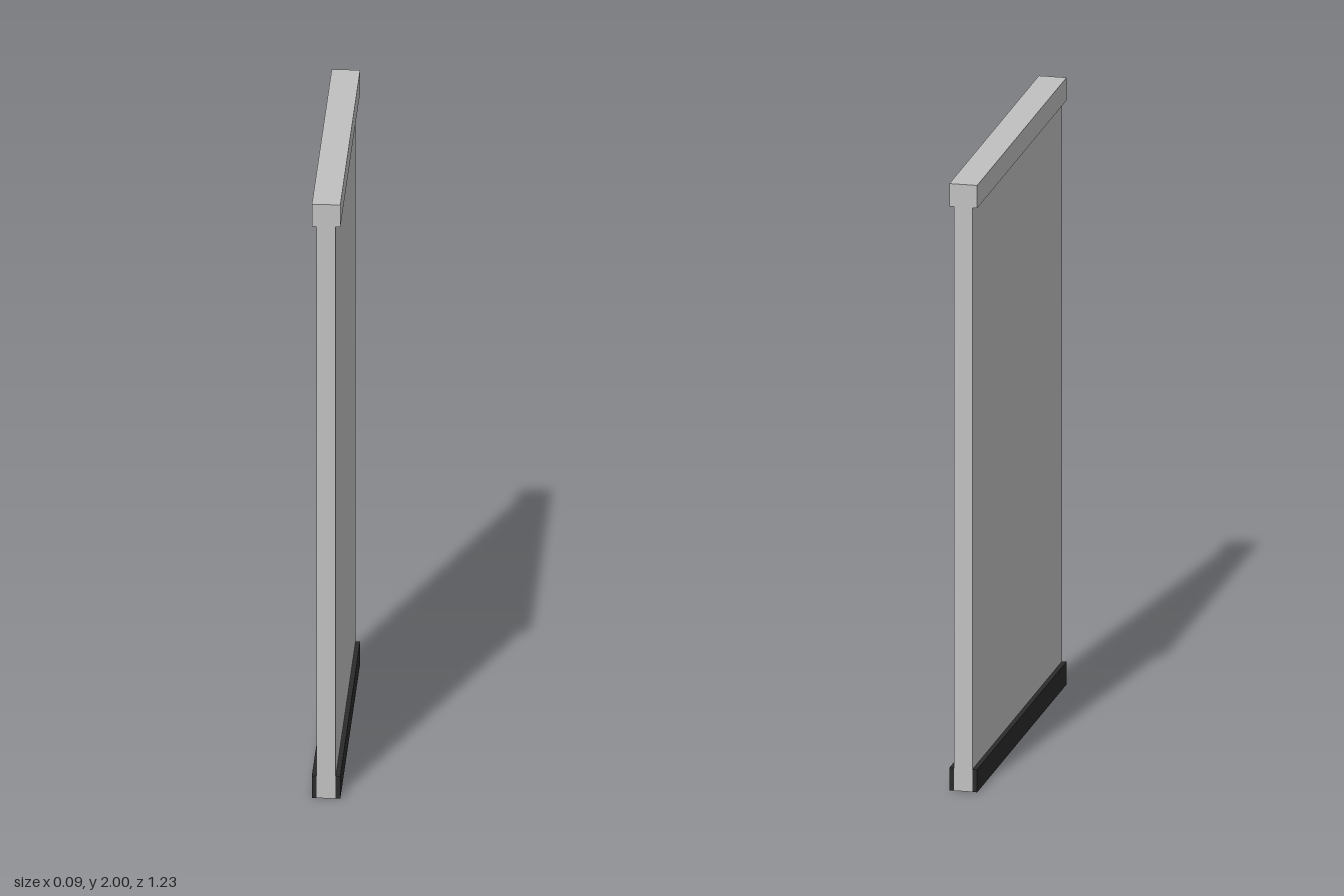
import * as THREE from 'three';

const LENGTH = 1.226; // along z
const WALL = 0.06; // panel thickness
const TRIM = 0.09; // overall thickness at cap and skirting
const BAND = 0.075; // height of cap and skirting

export function createModel() {
  const group = new THREE.Group();
  const grey = new THREE.MeshStandardMaterial({ name: 'lightGrey', color: 0xc0c0c0 });
  const dark = new THREE.MeshStandardMaterial({ name: 'charcoal', color: 0x2b2b2b });

  const slab = (name, width, y0, y1, x, material) => {
    const mesh = new THREE.Mesh(new THREE.BoxGeometry(width, y1 - y0, LENGTH), material);
    mesh.name = name;
    mesh.position.set(x, (y0 + y1) / 2, 0);
    group.add(mesh);
  };

  // Main panel and its wider cap
  slab('wallPanel', WALL, 0, 2 - BAND, 0, grey);
  slab('topCap', TRIM, 2 - BAND, 2, 0, grey);

  // Dark skirting on both faces, with a grey underside
  const strip = (TRIM - WALL) / 2;
  const skirtingFaces = [dark, dark, dark, grey, dark, dark];
  for (const [name, side] of [['leftSkirting', 1], ['rightSkirting', -1]]) {
    slab(name, strip, 0, BAND, side * (WALL + strip) / 2, skirtingFaces);
  }
  return group;
}
